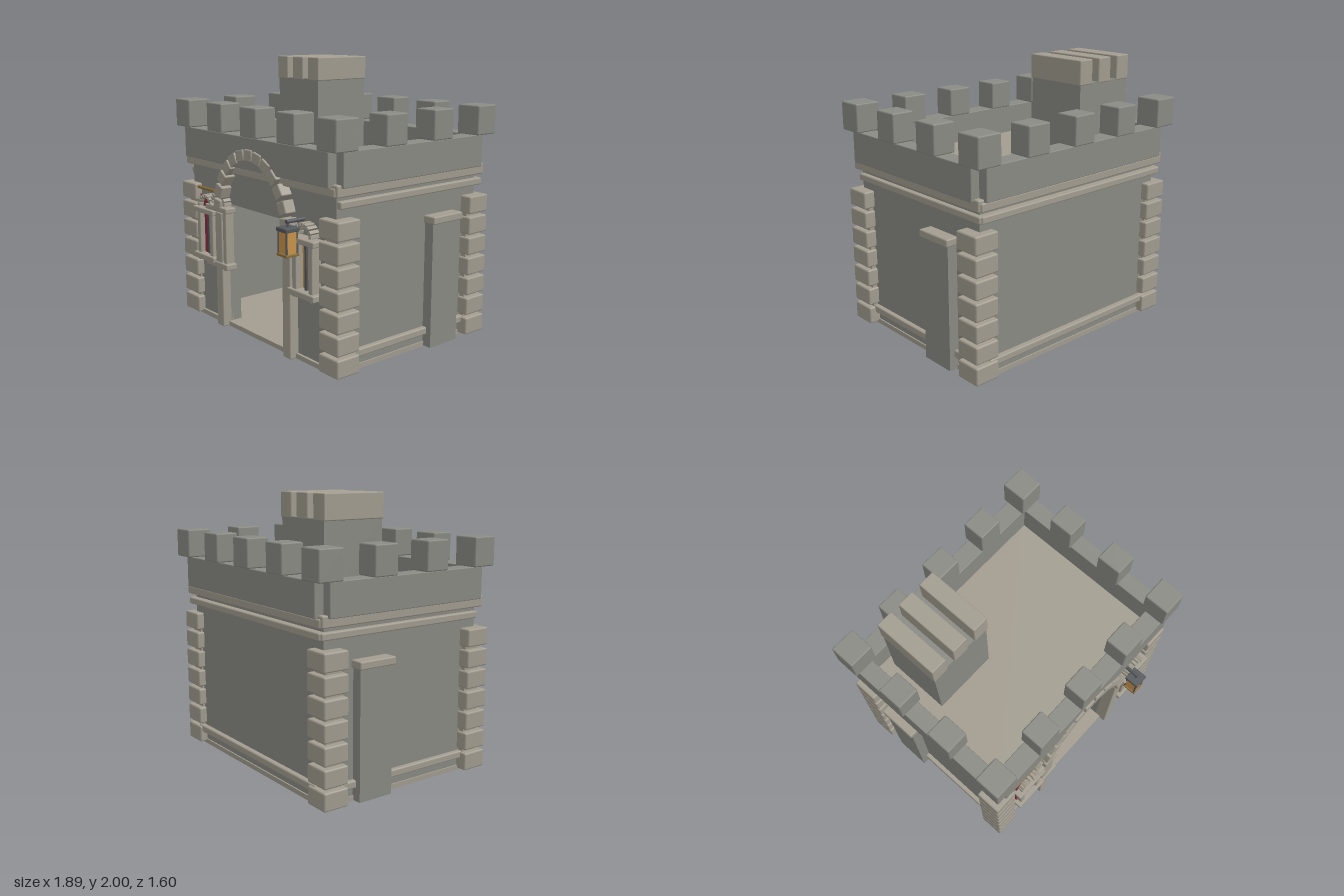
import * as THREE from 'three';
import { RoundedBoxGeometry } from 'three/addons/geometries/RoundedBoxGeometry.js';

const mat = (color) => new THREE.MeshStandardMaterial({ color });
const GREY = mat(0x8a8b84), STONE = mat(0xa39d90), GOLD = mat(0xc8954a);
const RED = mat(0x8a3043), DARK = mat(0x55585c), BRASS = mat(0x8f6f3a);

// Box given by its extents; bevel > 0 softens the edges
function block(parent, name, material, [x0, x1], [y0, y1], [z0, z1], bevel = 0) {
  const s = [x1 - x0, y1 - y0, z1 - z0];
  const geo = bevel ? new RoundedBoxGeometry(...s, 1, bevel) : new THREE.BoxGeometry(...s);
  const mesh = new THREE.Mesh(geo, material);
  mesh.position.set((x0 + x1) / 2, (y0 + y1) / 2, (z0 + z1) / 2);
  mesh.name = name;
  parent.add(mesh);
  return mesh;
}

function group(parent, name) {
  const g = new THREE.Group();
  g.name = name;
  parent.add(g);
  return g;
}

// Span from centre and full width
const span = (c, w) => [c - w / 2, c + w / 2];
// Span mirrored to the side s (1 or -1)
const side = (s, a, b) => (s > 0 ? [a, b] : [-b, -a]);

// Ring of wedge-like stones along a half ellipse
function stoneArch(parent, name, cx, cy, rx, ry, count, size, z) {
  const g = group(parent, name);
  for (let i = 0; i < count; i++) {
    const a = Math.PI * (i + 0.5) / count;
    const stone = block(g, 'archStone', STONE, span(0, size[0]), span(0, size[1]), z, size[0] * 0.1);
    stone.position.x = cx + Math.cos(a) * rx;
    stone.position.y = cy + Math.sin(a) * ry;
    stone.rotation.z = a;
  }
}

function rod(parent, name, material, r, length, pos, axis) {
  const mesh = new THREE.Mesh(new THREE.CylinderGeometry(r, r, length, 12), material);
  mesh.rotation[axis] = Math.PI / 2;
  mesh.position.set(...pos);
  mesh.name = name;
  parent.add(mesh);
}

// Window with sill, lintel, jambs, two panes and a small arch
function windowUnit(parent, cx, y0, y1, zOut) {
  const g = group(parent, 'window');
  block(g, 'sill', STONE, span(cx, 0.28), [y0, y0 + 0.045], [0.6, zOut], 0.008);
  block(g, 'lintel', STONE, span(cx, 0.28), [y1 - 0.04, y1], [0.6, zOut], 0.008);
  for (const s of [-1, 1]) {
    block(g, 'jamb', STONE, span(cx + s * 0.085, 0.042), [y0 + 0.04, y1 - 0.035], [0.6, zOut - 0.02], 0.006);
    block(g, 'pane', GOLD, side(s, 0.008, 0.065).map((x) => x + cx), [y0 + 0.04, y1 - 0.04], [0.6, 0.625]);
    block(g, 'sillBracket', STONE, span(cx + s * 0.085, 0.03), [y0 - 0.012, y0 + 0.005], [0.6, zOut - 0.02]);
  }
  block(g, 'mullion', DARK, span(cx, 0.02), [y0 + 0.04, y1 - 0.04], [0.6, 0.655]);
  stoneArch(g, 'windowArch', cx, y1 + 0.005, 0.085, 0.085, 9, [0.025, 0.024], [0.6, zOut - 0.02]);
}

export function createModel() {
  const model = new THREE.Group();
  model.name = 'gatehouse';

  // Floor, hollow walls with a doorway, and roof
  block(model, 'baseSlab', STONE, [-0.86, 0.86], [0, 0.035], [-0.71, 0.63]);
  block(model, 'backWall', GREY, [-0.85, 0.85], [0.03, 1.26], [-0.7, -0.62]);
  for (const s of [-1, 1]) {
    block(model, 'sideWall', GREY, side(s, 0.76, 0.85), [0.03, 1.26], [-0.62, 0.52]);
    block(model, 'frontWall', GREY, side(s, 0.37, 0.85), [0.03, 0.945], [0.52, 0.61]);
  }
  block(model, 'frontWallTop', GREY, [-0.85, 0.85], [0.945, 1.26], [0.52, 0.61]);
  block(model, 'roof', STONE, [-0.84, 0.84], [1.2, 1.262], [-0.69, 0.6]);

  // Parapet
  const parapet = group(model, 'parapet');
  block(parapet, 'frontParapet', GREY, [-0.85, 0.85], [1.25, 1.48], [0.54, 0.68], 0.006);
  block(parapet, 'backParapet', GREY, [-0.85, 0.85], [1.25, 1.48], [-0.77, -0.63], 0.006);
  for (const s of [-1, 1])
    block(parapet, 'sideParapet', GREY, side(s, 0.79, 0.917), [1.25, 1.48], [-0.7, 0.61], 0.006);

  // Merlons around the parapet, larger at the corners
  const battlements = group(model, 'battlements');
  for (let i = -2; i <= 2; i++) {
    const w = Math.abs(i) === 2 ? 0.19 : 0.172;
    for (const z of [0.602, -0.708])
      block(battlements, 'merlon', GREY, span(i * 0.425, 0.19), [1.48, 1.688], span(z, w), 0.01);
  }
  for (const s of [-1, 1])
    for (const z of [0.17, -0.27])
      block(battlements, 'merlon', GREY, span(s * 0.852, 0.172), [1.48, 1.688], span(z, 0.19), 0.01);

  // Rooftop turret with three cap stones
  const turret = group(model, 'turret');
  block(turret, 'turretBody', GREY, [-0.67, -0.185], [1.25, 1.835], [-0.566, -0.095]);
  for (const x of [-0.617, -0.427, -0.238])
    block(turret, 'turretCap', STONE, span(x, 0.125), [1.825, 2], [-0.572, -0.086], 0.008);

  // Horizontal string courses
  const courses = group(model, 'stringCourses');
  block(courses, 'frontCourse', STONE, [-0.88, 0.88], [1.19, 1.25], [0.59, 0.655], 0.01);
  block(courses, 'backUpperCourse', STONE, [-0.88, 0.88], [1.19, 1.25], [-0.757, -0.68], 0.01);
  block(courses, 'backLowerCourse', STONE, [-0.87, 0.87], [1.11, 1.16], [-0.752, -0.68], 0.01);
  block(courses, 'backPlinth', STONE, [-0.8, 0.8], [0.095, 0.148], [-0.74, -0.68], 0.01);
  for (const s of [-1, 1]) {
    block(courses, 'sideUpperCourse', STONE, side(s, 0.83, 0.898), [1.19, 1.27], [-0.745, 0.645], 0.01);
    block(courses, 'sideLowerCourse', STONE, side(s, 0.83, 0.887), [1.11, 1.16], [-0.74, 0.605], 0.01);
    block(courses, 'sidePlinth', STONE, side(s, 0.83, 0.885), [0.095, 0.148], [-0.6, 0.5], 0.01);
  }

  // Corner stones: a core strip with seven projecting blocks
  const quoins = group(model, 'cornerStones');
  for (const s of [-1, 1])
    for (const z of [0.574, -0.662]) {
      const d = Math.sign(z);
      block(quoins, 'cornerCore', STONE, side(s, 0.77, 0.888), [0.01, 1.03], span(z - d * 0.012, 0.13));
      for (let i = 0; i < 7; i++)
        block(quoins, 'cornerStone', STONE, side(s, 0.742, 0.935), span(0.076 + i * 0.151, 0.127), span(z, 0.192), 0.012);
    }

  // Side buttresses
  for (const s of [-1, 1]) {
    const g = group(model, 'buttress');
    block(g, 'buttressShaft', GREY, side(s, 0.83, 0.925), [0.005, 0.91], [-0.468, -0.2]);
    block(g, 'buttressCap', STONE, side(s, 0.83, 0.945), [0.9, 0.955], [-0.482, -0.187], 0.01);
  }

  // Doorway posts and arch
  const doorway = group(model, 'doorway');
  for (const s of [-1, 1])
    block(doorway, 'doorPost', STONE, side(s, 0.37, 0.455), [0, 0.88], [0.58, 0.68], 0.008);
  stoneArch(doorway, 'doorArch', 0, 0.88, 0.41, 0.475, 13, [0.083, 0.092], [0.59, 0.695]);

  // Windows
  windowUnit(model, 0.592, 0.48, 0.885, 0.705);
  windowUnit(model, -0.592, 0.48, 0.885, 0.705);
  windowUnit(model, -0.43, 0.457, 0.927, 0.692);

  // Hanging banner
  const banner = group(model, 'banner');
  block(banner, 'bannerCloth', RED, [-0.71, -0.54], [0.515, 0.97], [0.63, 0.645]);
  rod(banner, 'bannerRod', BRASS, 0.012, 0.225, [-0.623, 1.022, 0.64], 'z');

  // Lantern on its bracket
  const lantern = group(model, 'lantern');
  const lx = 0.522, lz = 0.743;
  rod(lantern, 'lanternBracket', DARK, 0.014, 0.15, [lx, 0.993, 0.68], 'x');
  block(lantern, 'lanternHanger', DARK, span(lx, 0.012), [0.95, 0.99], span(lz, 0.012));
  block(lantern, 'lanternRoof', DARK, span(lx, 0.112), [0.93, 0.957], span(lz, 0.114), 0.004);
  block(lantern, 'lanternGlass', GOLD, span(lx, 0.085), [0.78, 0.935], span(lz, 0.085));
  block(lantern, 'lanternBase', BRASS, span(lx, 0.108), [0.765, 0.783], span(lz, 0.108), 0.004);
  for (const sx of [-1, 1])
    for (const sz of [-1, 1])
      block(lantern, 'lanternPost', DARK, span(lx + sx * 0.043, 0.01), [0.775, 0.935], span(lz + sz * 0.043, 0.01));

  return model;
}
